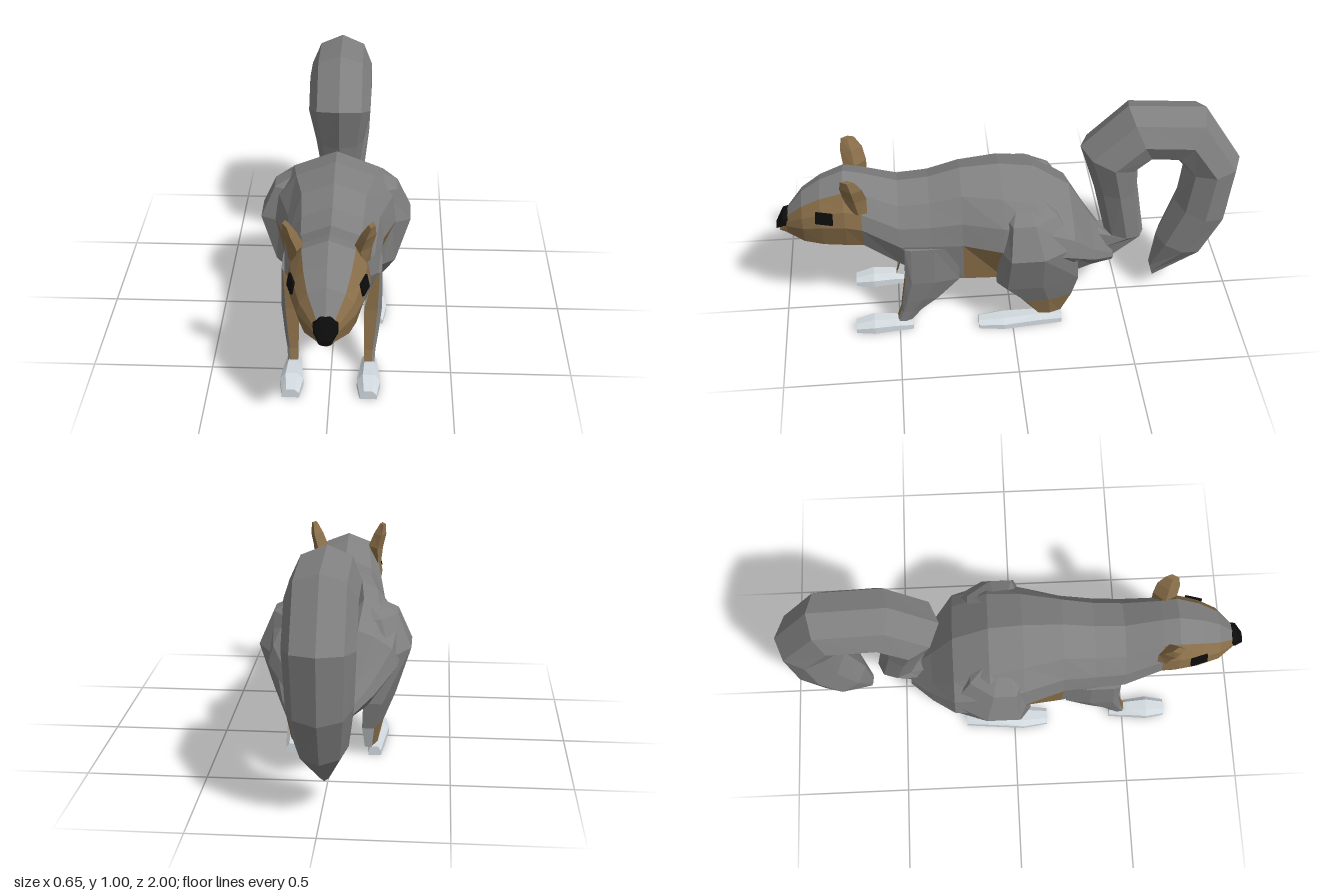
import * as THREE from 'three';

const mat = (name, color) => {
  const m = new THREE.MeshStandardMaterial({ color });
  m.name = name;
  return m;
};

// Faceted solid through equal-length closed rings of [x,y,z]; colour(i,j) picks a material index
function loft(rings, colour, materials, name) {
  const buckets = materials.map(() => []);
  const n = rings[0].length;
  const tri = (k, a, b, c) => buckets[k].push([a, b, c]);
  for (let i = 0; i < rings.length - 1; i++) {
    for (let j = 0; j < n; j++) {
      const a = rings[i][j], b = rings[i][(j + 1) % n];
      const c = rings[i + 1][(j + 1) % n], d = rings[i + 1][j];
      const k = colour(i, j);
      tri(k, a, b, c);
      tri(k, a, c, d);
    }
  }
  const last = rings.length - 1;
  for (let j = 1; j < n - 1; j++) {
    tri(colour(0, 2), rings[0][0], rings[0][j + 1], rings[0][j]);
    tri(colour(last - 1, 2), rings[last][0], rings[last][j], rings[last][j + 1]);
  }
  // turn the solid the right way out using its signed volume
  let volume = 0;
  const [A, B, C] = [0, 1, 2].map(() => new THREE.Vector3());
  buckets.flat().forEach(([a, b, c]) => {
    volume += A.set(...a).dot(B.set(...b).cross(C.set(...c)));
  });
  const geo = new THREE.BufferGeometry();
  const pos = [];
  buckets.forEach((list, k) => {
    if (!list.length) return;
    geo.addGroup(pos.length / 3, list.length * 3, k);
    list.forEach(([a, b, c]) => pos.push(...a, ...(volume < 0 ? [...c, ...b] : [...b, ...c])));
  });
  geo.setAttribute('position', new THREE.Float32BufferAttribute(pos, 3));
  geo.computeVertexNormals();
  const mesh = new THREE.Mesh(geo, materials);
  mesh.name = name;
  return mesh;
}

// Whole ring from a half profile of [x,y,z]; first and last points lie on the centre line
const mirrorRing = (half) =>
  [...half, ...half.slice(1, -1).reverse().map(([x, y, z]) => [-x, y, z])];

// Body ring at z: top and bottom height, widest point (w, midY), lower edge (lowX, lowY)
const bodyRing = ([z, top, bottom, w, midY, lowX, lowY]) => mirrorRing([
  [0, top, z], [0.64 * w, top - 0.25 * w, z], [0.92 * w, top + 0.6 * (midY - top), z],
  [w, midY, z], [lowX, lowY, z], [0, bottom, z],
]);

// Tail ring: outer and inner [z,y] and half width
const tailRing = ([[z0, y0], [z1, y1], w]) => mirrorRing(
  [[0, 0], [0.72, 0.16], [1, 0.52], [0.72, 0.86], [0, 1]]
    .map(([f, t]) => [w * f, y0 + t * (y1 - y0), z0 + t * (z1 - z0)]));

// Leg ring at height y, between inner/outer x and front/back z
const legRing = (s, mid) => ([y, xi, xo, zf, zb]) => {
  const xm = xi + mid * (xo - xi), d = zf - zb;
  return [[xi, zf], [xm, zf], [xo, zf - 0.12 * d], [xo, zb + 0.45 * d], [xm, zb], [xi, zb]]
    .map(([x, z]) => [s * x, y, z]);
};

// Paw ring at depth z: flat sole, chamfered top
const pawRing = (s, cx) => ([z, w, h]) =>
  [[-w, 0], [-w, h * 0.55], [-w * 0.5, h], [w * 0.5, h], [w, h * 0.55], [w, 0]]
    .map(([x, y]) => [s * (cx + x), y, z]);

// Ear ring: slanted diamond of half thickness r and half depth d
const earRing = (s) => ([y, x, z, r, d]) =>
  [[r, 0], [0.3 * r, -d], [-r, 0], [-0.3 * r, d]].map(([dx, dz]) => [s * (x + dx), y, z + dz]);

// Octagonal nose ring
const noseRing = ([z, cy, rx, ry]) => Array.from({ length: 8 }, (_, k) => {
  const t = (k + 0.5) * Math.PI / 4;
  return [rx * Math.cos(t), cy + ry * Math.sin(t), z];
});

export function createModel() {
  const model = new THREE.Group();
  model.name = 'squirrel';
  const M = [
    mat('greyFur', 0x808080), mat('brownFur', 0x896e49),
    mat('paleFur', 0xd2dadf), mat('black', 0x0c0c0c),
  ];
  const [GREY, BROWN, PALE, BLACK] = [0, 1, 2, 3];

  // Head and torso, nose to rump
  const body = [
    [0.985, 0.49, 0.465, 0.03, 0.48, 0.02, 0.47],
    [0.955, 0.56, 0.455, 0.048, 0.51, 0.035, 0.467],
    [0.88, 0.655, 0.42, 0.112, 0.54, 0.085, 0.453],
    [0.80, 0.71, 0.415, 0.142, 0.56, 0.11, 0.45],
    [0.70, 0.75, 0.41, 0.162, 0.57, 0.125, 0.45],
    [0.63, 0.735, 0.35, 0.16, 0.55, 0.12, 0.44],
    [0.475, 0.685, 0.248, 0.19, 0.47, 0.13, 0.33],
    [0.345, 0.695, 0.23, 0.198, 0.47, 0.16, 0.28],
    [0.21, 0.733, 0.212, 0.21, 0.475, 0.185, 0.275],
    [0.04, 0.743, 0.182, 0.262, 0.465, 0.18, 0.265],
    [-0.105, 0.722, 0.18, 0.29, 0.46, 0.18, 0.25],
    [-0.26, 0.615, 0.188, 0.27, 0.42, 0.15, 0.245],
    [-0.36, 0.44, 0.195, 0.18, 0.33, 0.10, 0.24],
    [-0.46, 0.29, 0.205, 0.07, 0.25, 0.05, 0.22],
  ].map(bodyRing);
  const bodyColour = (i, j) => {
    const side = j < 5 ? j : 9 - j;              // 0 = back ... 4 = underside
    if (side === 4) return PALE;
    if (i < 5) return side === 0 ? GREY : BROWN; // face
    return i === 8 && side === 3 ? BROWN : GREY; // flank patch
  };
  model.add(loft(body, bodyColour, M, 'headAndTorso'));

  // Tail, rump to tip
  const tail = [
    [[-0.36, 0.40], [-0.46, 0.20], 0.06],
    [[-0.425, 0.36], [-0.60, 0.34], 0.075],
    [[-0.37, 0.60], [-0.56, 0.60], 0.11],
    [[-0.305, 0.81], [-0.555, 0.72], 0.14],
    [[-0.50, 1.0], [-0.61, 0.76], 0.14],
    [[-0.83, 0.975], [-0.70, 0.75], 0.14],
    [[-1.0, 0.71], [-0.755, 0.685], 0.14],
    [[-0.97, 0.43], [-0.73, 0.50], 0.13],
    [[-0.88, 0.24], [-0.66, 0.31], 0.105],
    [[-0.66, 0.075], [-0.64, 0.15], 0.025],
  ].map(tailRing);
  model.add(loft(tail, () => GREY, M, 'tail'));

  const nose = [[0.945, 0.526, 0.052, 0.048], [0.966, 0.527, 0.05, 0.042], [1, 0.488, 0.025, 0.012]];
  model.add(loft(nose.map(noseRing), () => BLACK, M, 'nose'));

  for (const s of [1, -1]) {
    const side = s > 0 ? 'left' : 'right';

    // Front leg: brown in front, pale inside
    const frontLeg = [
      [0.46, 0.17, 0.205, 0.46, 0.23], [0.28, 0.135, 0.208, 0.465, 0.23],
      [0.17, 0.135, 0.195, 0.48, 0.325], [0.10, 0.136, 0.184, 0.49, 0.40],
      [0.04, 0.138, 0.18, 0.51, 0.445],
    ].map(legRing(s, 0.75));
    const frontColour = (i, j) => (j === 0 ? BROWN : j === 5 ? PALE : GREY);
    model.add(loft(frontLeg, frontColour, M, side + 'FrontLeg'));

    // Hind leg: grey thigh, brown shin, pale inside and behind the heel
    const hindLeg = [
      [0.655, 0.10, 0.165, -0.01, -0.12], [0.60, 0.10, 0.265, 0.03, -0.19],
      [0.46, 0.12, 0.325, 0.055, -0.27], [0.26, 0.13, 0.262, 0.07, -0.285],
      [0.14, 0.125, 0.21, -0.03, -0.262], [0.035, 0.135, 0.185, -0.115, -0.215],
    ].map(legRing(s, 0.6));
    const hindColour = (i, j) => {
      if ((j === 5 && i > 1) || (j === 4 && i === 4)) return PALE;
      return i === 4 || (i === 3 && j === 0) ? BROWN : GREY;
    };
    model.add(loft(hindLeg, hindColour, M, side + 'HindLeg'));

    // Paws, heel to toe
    const frontPaw = [[0.44, 0.03, 0.04], [0.52, 0.038, 0.055], [0.61, 0.048, 0.06], [0.692, 0.035, 0.038]];
    const hindPaw = [[-0.22, 0.026, 0.04], [-0.12, 0.036, 0.05], [0.04, 0.05, 0.042], [0.15, 0.035, 0.032]];
    model.add(loft(frontPaw.map(pawRing(s, 0.158)), () => PALE, M, side + 'FrontPaw'));
    model.add(loft(hindPaw.map(pawRing(s, 0.178)), () => PALE, M, side + 'HindPaw'));

    // Ear, base to tip
    const ear = [
      [0.63, 0.14, 0.64, 0.018, 0.035], [0.70, 0.131, 0.652, 0.035, 0.05],
      [0.76, 0.151, 0.663, 0.029, 0.047], [0.806, 0.163, 0.675, 0.013, 0.028],
    ].map(earRing(s));
    model.add(loft(ear, () => BROWN, M, side + 'Ear'));

    // Eye: thin four-sided plate on the cheek
    const plate = new THREE.CylinderGeometry(1, 1, 0.009, 4, 1, false, Math.PI / 4).rotateX(Math.PI / 2);
    const eye = new THREE.Mesh(plate, M[BLACK]);
    eye.name = side + 'Eye';
    eye.scale.set(0.052, 0.037, 1);
    eye.position.set(s * 0.14, 0.608, 0.785);
    eye.lookAt(s * 1.14, 0.828, 1.065);
    model.add(eye);
  }
  return model;
}
